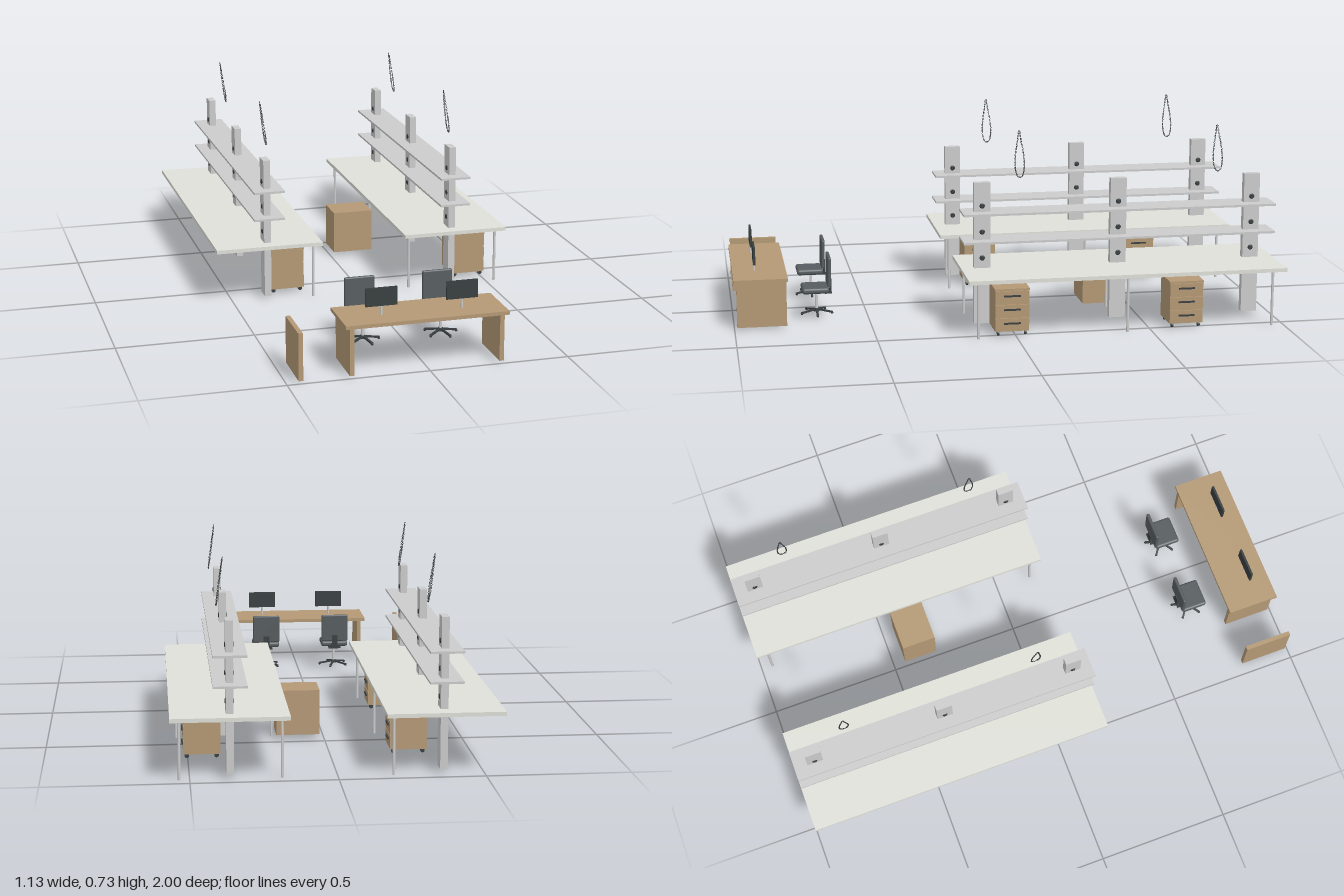
import * as THREE from 'three';
import { mergeGeometries } from 'three/addons/utils/BufferGeometryUtils.js';
import { RoundedBoxGeometry } from 'three/addons/geometries/RoundedBoxGeometry.js';

const mat = (color) => new THREE.MeshStandardMaterial({ color });
const grey = mat(0xcccccc), topMat = mat(0xdfe0d8), wood = mat(0xb49975);
const fabric = mat(0x565c5f), dark = mat(0x383e40);

function add(parent, name, geo, material, x = 0, y = 0, z = 0) {
  const m = new THREE.Mesh(geo, material);
  m.name = name;
  m.position.set(x, y, z);
  parent.add(m);
  return m;
}

// Box given by its limits on each axis
function box(parent, name, material, x0, x1, y0, y1, z0, z1) {
  return add(parent, name, new THREE.BoxGeometry(x1 - x0, y1 - y0, z1 - z0), material,
    (x0 + x1) / 2, (y0 + y1) / 2, (z0 + z1) / 2);
}

function group(parent, name, x = 0, y = 0, z = 0) {
  const g = new THREE.Group();
  g.name = name;
  g.position.set(x, y, z);
  parent.add(g);
  return g;
}

// Long workbench with posts, shelves and sockets
function workbench(parent, side, legXs) {
  const g = group(parent, side < 0 ? 'rightWorkbench' : 'leftWorkbench');
  const cx = side * 0.363;
  box(g, 'worktop', topMat, side * 0.364 - 0.202, side * 0.364 + 0.202, 0.208, 0.222, -1, 0.178);
  for (const y of [0.32, 0.424])
    box(g, 'shelf', grey, cx - 0.058, cx + 0.058, y, y + 0.008, -0.996, 0.174);
  for (const z of [0.1, -0.408, -0.916]) {
    box(g, 'post', grey, cx - 0.013, cx + 0.013, 0.012, 0.54, z - 0.03, z + 0.03);
    for (const y of [0.26, 0.357, 0.454])
      for (const s of [-1, 1]) {
        const face = add(g, 'socket', new THREE.CylinderGeometry(0.007, 0.01, 0.003, 16),
          dark, cx + s * 0.0145, y, z);
        face.rotation.z = -s * Math.PI / 2;
      }
  }
  for (const x of legXs)
    for (const z of [0.14, -0.41, -0.955])
      add(g, 'benchLeg', new THREE.CylinderGeometry(0.005, 0.005, 0.208, 16), grey, x, 0.104, z);
}

// Drawer pedestal on castors, drawers facing +x
function pedestal(parent, x, z) {
  const g = group(parent, 'drawerPedestal', x, 0, z);
  box(g, 'pedestalBody', wood, -0.066, 0.06, 0.016, 0.168, -0.062, 0.062);
  box(g, 'pedestalTop', wood, -0.066, 0.066, 0.169, 0.176, -0.064, 0.064);
  for (const y of [0.018, 0.069, 0.12]) {
    box(g, 'drawerFront', wood, 0.06, 0.065, y, y + 0.047, -0.062, 0.062);
    box(g, 'drawerHandle', dark, 0.065, 0.07, y + 0.026, y + 0.032, -0.03, 0.03);
  }
  for (const sx of [-1, 1])
    for (const sz of [-1, 1]) {
      const c = add(g, 'castor', new THREE.CylinderGeometry(0.008, 0.008, 0.008, 14), dark,
        sx * 0.052, 0.009, sz * 0.05);
      c.rotation.x = Math.PI / 2;
    }
}

// Office chair on a five-arm star base, back towards -z
function chair(parent, x) {
  const g = group(parent, 'officeChair', x, 0, 0.69);
  add(g, 'seat', new RoundedBoxGeometry(0.11, 0.022, 0.1, 3, 0.009), fabric, 0, 0.111, 0.005);
  const back = add(g, 'backrest', new RoundedBoxGeometry(0.11, 0.112, 0.013, 3, 0.005), fabric, 0, 0.18, -0.046);
  back.rotation.x = -0.02;
  box(g, 'backSupport', dark, -0.012, 0.012, 0.1, 0.15, -0.056, -0.05);
  box(g, 'seatPlate', dark, -0.025, 0.025, 0.094, 0.101, -0.056, 0.03);
  add(g, 'gasLift', new THREE.CylinderGeometry(0.005, 0.006, 0.075, 16), grey, 0, 0.062, 0);
  add(g, 'baseHub', new THREE.CylinderGeometry(0.009, 0.011, 0.012, 16), dark, 0, 0.028, 0);
  for (let i = 0; i < 5; i++) {
    const arm = group(g, 'baseArm');
    arm.rotation.y = i * Math.PI * 2 / 5;
    const bar = box(arm, 'armBar', dark, 0, 0.062, 0.022, 0.028, -0.004, 0.004);
    bar.rotation.z = -0.16;
    add(arm, 'armFoot', new THREE.SphereGeometry(0.005, 10, 8), dark, 0.059, 0.018, 0);
  }
}

function monitor(parent, x) {
  const g = group(parent, 'monitor', x, 0, 0.919);
  box(g, 'screen', dark, -0.056, 0.056, 0.221, 0.286, -0.004, 0.004);
  add(g, 'screenStand', new THREE.CylinderGeometry(0.004, 0.004, 0.034, 12), grey, 0, 0.205, 0);
}

// Hanging teardrop chain made of alternating links, leaning along x
function chainLoop(parent, x, z) {
  const pts = [[0, 0.725], [0.007, 0.69], [0.016, 0.63], [0.016, 0.59], [0.009, 0.565],
    [0, 0.56], [-0.009, 0.565], [-0.016, 0.59], [-0.016, 0.63], [-0.007, 0.69]]
    .map(([dz, y]) => new THREE.Vector3((0.725 - y) * 0.135, y, dz));
  const curve = new THREE.CatmullRomCurve3(pts, true);
  const n = 60, links = [], X = new THREE.Vector3(1, 0, 0);
  for (let i = 0; i < n; i++) {
    const q = new THREE.Quaternion().setFromUnitVectors(X, curve.getTangentAt(i / n));
    const link = new THREE.TorusGeometry(0.0022, 0.0008, 5, 10);
    link.scale(1.6, 1, 1).rotateX((i % 2) * Math.PI / 2).applyQuaternion(q);
    const p = curve.getPointAt(i / n);
    links.push(link.translate(p.x, p.y, p.z));
  }
  add(parent, 'chainLoop', mergeGeometries(links), dark, x, 0, z);
}

export function createModel() {
  const model = new THREE.Group();
  model.name = 'officeFurniture';

  // Benches, pedestals and chains
  workbench(model, -1, [-0.19]);
  workbench(model, 1, [0.188, 0.535]);
  for (const x of [-0.276, 0.451])
    for (const z of [0.013, -0.635]) pedestal(model, x, z);
  for (const x of [-0.35, 0.377])
    for (const z of [-0.035, -0.776]) chainLoop(model, x, z);
  box(model, 'plainCabinet', wood, 0.015, 0.173, 0.013, 0.178, -0.453, -0.322);

  // Front desk with end panels and one loose panel
  box(model, 'deskTop', wood, -0.297, 0.282, 0.175, 0.188, 0.802, 1);
  for (const [name, x] of [['deskEndPanel', -0.273], ['deskEndPanel', 0.26], ['loosePanel', -0.45]])
    box(model, name, wood, x - 0.008, x + 0.008, 0.006, 0.175, 0.808, 0.99);
  for (const x of [-0.151, 0.137]) {
    chair(model, x);
    monitor(model, x);
  }
  return model;
}
